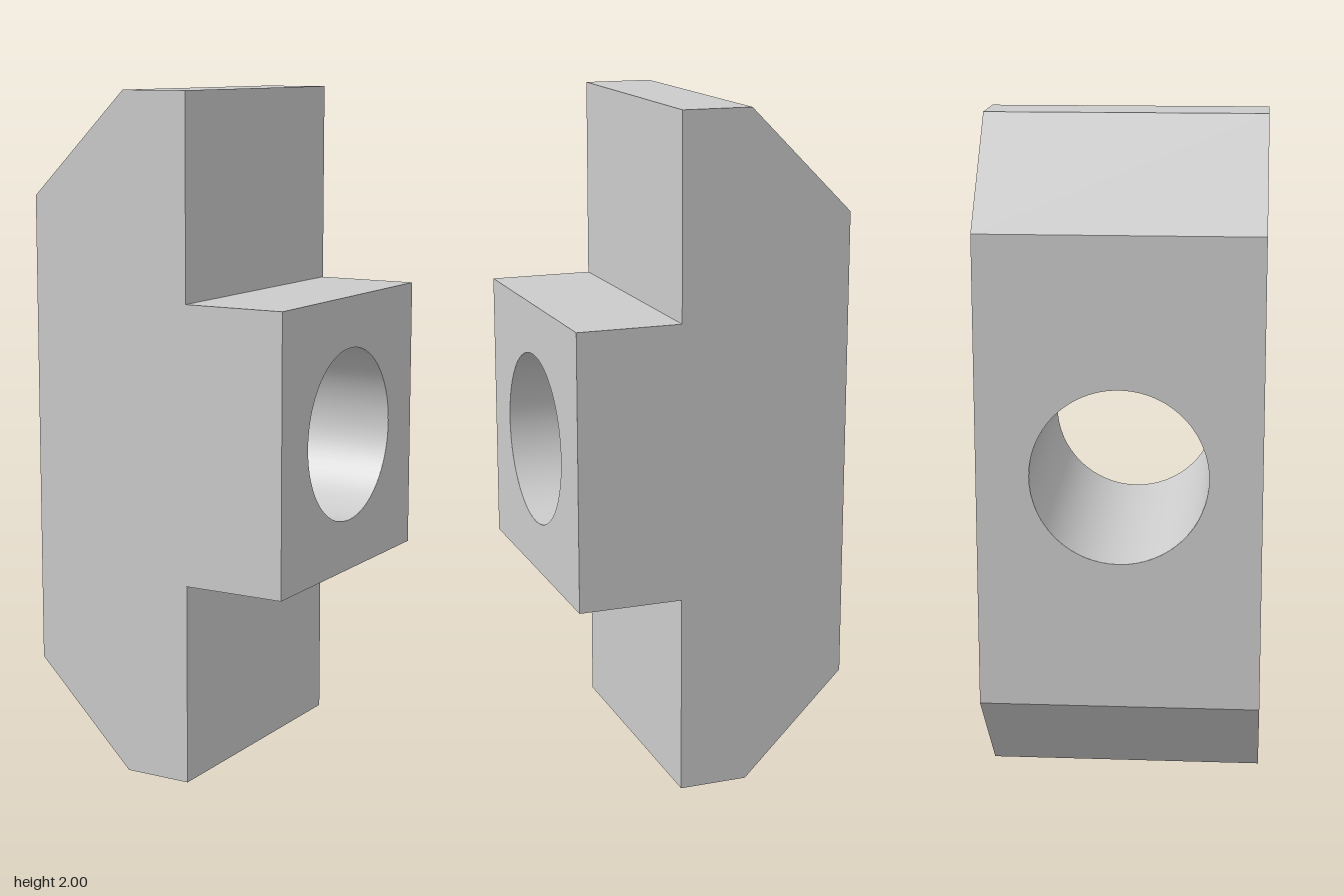
import * as THREE from 'three';

const HALF = 0.41;   // half of the depth and of the overall width
const BORE = 0.257;  // bore radius
const SEGMENTS = 64;

// Nut cross-section in x/y, counter-clockwise seen from the front
const PROFILE = [
  [-0.105, 0], [0.1, 0], [0.1, 0.592], [HALF, 0.592], [HALF, 1.408],
  [0.1, 1.408], [0.1, 2], [-0.105, 2], [-HALF, 1.695], [-HALF, 0.305],
].map(([x, y]) => new THREE.Vector2(x, y));

export function createModel() {
  const group = new THREE.Group();
  const material = new THREE.MeshStandardMaterial({ color: 0xcccccc });
  const add = (name, geometry) => {
    const mesh = new THREE.Mesh(geometry, material);
    mesh.name = name;
    group.add(mesh);
    return mesh;
  };

  // Flat end faces with the full cross-section
  const section = new THREE.ShapeGeometry(new THREE.Shape(PROFILE));
  add('frontFace', section).position.z = HALF;
  const back = add('backFace', section.clone().scale(-1, 1, 1).rotateY(Math.PI));
  // Mirroring reverses the corner order, so restore it and face the normals backwards
  back.geometry.index.array.reverse();
  back.geometry.computeVertexNormals();
  back.position.z = -HALF;

  // One flat wall per profile edge; the two outermost walls are pierced by the bore
  PROFILE.forEach((a, i) => {
    const b = PROFILE[(i + 1) % PROFILE.length];
    const along = b.clone().sub(a);
    const h = along.length() / 2;
    along.normalize();
    const pierced = Math.abs(a.x) === HALF && a.x === b.x;

    const shape = new THREE.Shape([[-HALF, -h], [HALF, -h], [HALF, h], [-HALF, h]]
      .map(([u, v]) => new THREE.Vector2(u, v)));
    if (pierced) shape.holes.push(new THREE.Path().absarc(0, 0, BORE, 0, Math.PI * 2, true));

    const placement = new THREE.Matrix4().makeBasis(
      new THREE.Vector3(0, 0, -1),
      new THREE.Vector3(along.x, along.y, 0),
      new THREE.Vector3(along.y, -along.x, 0),
    ).setPosition((a.x + b.x) / 2, (a.y + b.y) / 2, 0);
    add(pierced ? 'piercedWall' : 'wall',
      new THREE.ShapeGeometry(shape, SEGMENTS).applyMatrix4(placement));
  });

  // Smooth through-bore along x, facing inwards
  const bore = new THREE.LatheGeometry(
    [new THREE.Vector2(BORE, HALF), new THREE.Vector2(BORE, -HALF)], SEGMENTS);
  add('bore', bore.rotateZ(Math.PI / 2)).position.y = 1;

  return group;
}
